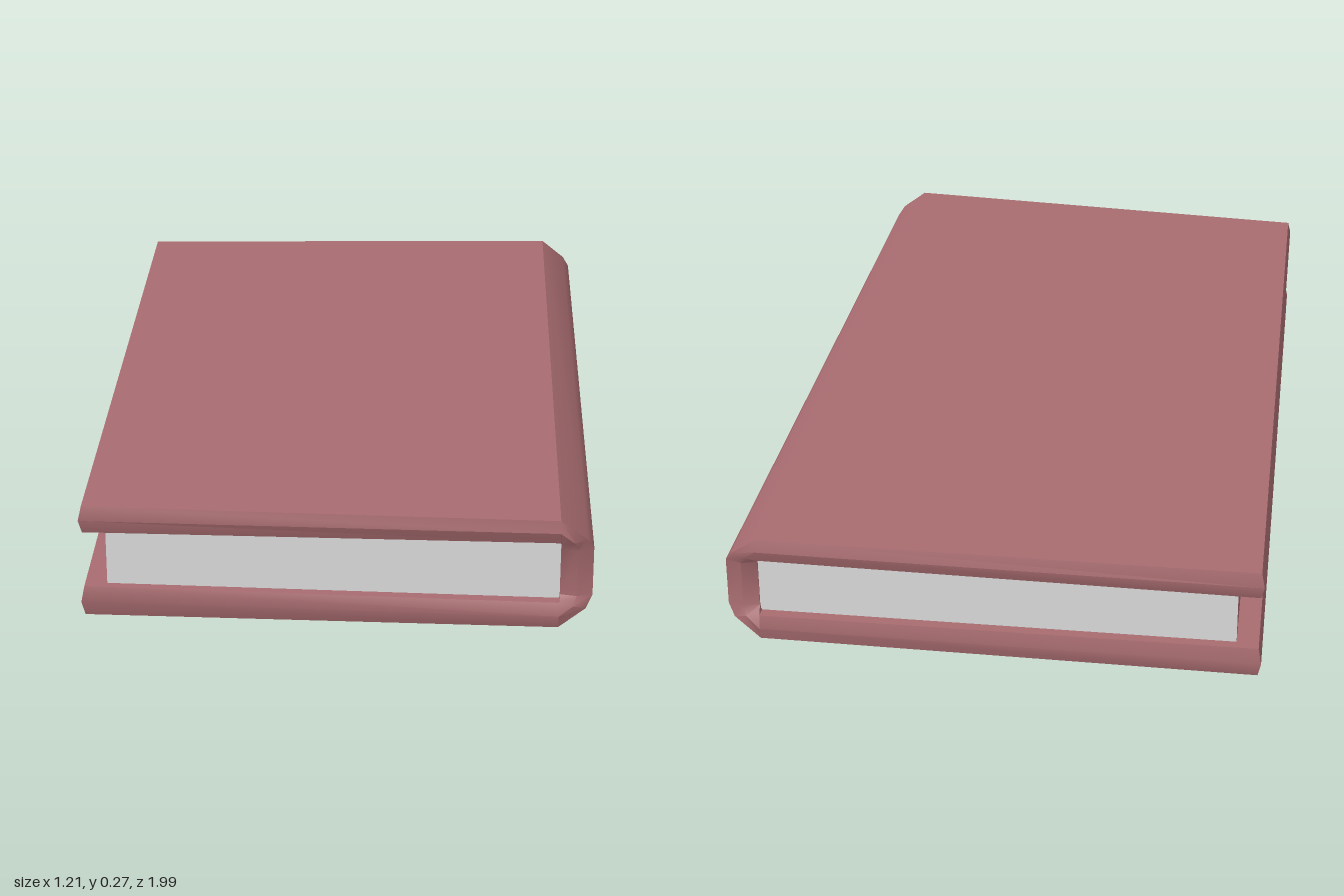
import * as THREE from 'three';
import { toCreasedNormals } from 'three/addons/utils/BufferGeometryUtils.js';

const SPINE_SLANT = 0.065; // the spine leans outward towards the back
const BULGE = 0.009;       // rounding of the board edges

// Sections along the C-shaped cover, from the top fore-edge round the spine to the bottom.
// [outer x, outer y, inner x, inner y, front z, back z], x as at the front end
const SECTIONS = [
  [-0.6, 0.266, -0.6, 0.203, 0.907, -0.988],
  [0.46, 0.273, 0.46, 0.22, 0.985, -0.991],
  [0.52, 0.228, 0.462, 0.216, 0.982, -0.978],
  [0.535, 0.205, 0.463, 0.2, 0.972, -0.968],
  [0.535, 0.09, 0.463, 0.09, 0.972, -0.968],
  [0.52, 0.062, 0.462, 0.078, 0.984, -0.98],
  [0.46, 0.015, 0.46, 0.075, 0.985, -0.991],
  [-0.6, 0.0, -0.6, 0.07, 0.907, -0.988],
];

function coverGeometry() {
  const loops = SECTIONS.map(([ox, oy, ix, iy, zf, zb], i) => {
    const isEnd = i === 0 || i === SECTIONS.length - 1;
    const slant = isEnd ? 0 : SPINE_SLANT;
    const mx = (ox + ix) / 2 - (isEnd ? 0.007 : 0), my = (oy + iy) / 2;
    return [
      [ox, oy, zf], [mx, my, zf + BULGE], [ix, iy, zf],
      [ix + slant, iy, zb], [mx + slant, my, zb - BULGE], [ox + slant, oy, zb],
    ];
  });
  const positions = [];
  const quad = (a, b, c, d) => positions.push(...a, ...b, ...c, ...a, ...c, ...d);

  for (let i = 0; i < loops.length - 1; i++) {
    const p = loops[i], q = loops[i + 1];
    for (let j = 0; j < 6; j++) {
      const k = (j + 1) % 6;
      quad(p[j], p[k], q[k], q[j]);
    }
  }
  // Pointed fore-edges of the two boards
  const s = loops[0], e = loops[loops.length - 1];
  quad(s[0], s[5], s[4], s[1]);
  quad(s[1], s[4], s[3], s[2]);
  quad(e[0], e[1], e[4], e[5]);
  quad(e[1], e[2], e[3], e[4]);

  const geometry = new THREE.BufferGeometry();
  geometry.setAttribute('position', new THREE.Float32BufferAttribute(positions, 3));
  return toCreasedNormals(geometry, 0.6);
}

// Box bent to fill the space between the boards
function pageGeometry() {
  const geometry = new THREE.BoxGeometry(1, 1, 1);
  const p = geometry.attributes.position;
  for (let i = 0; i < p.count; i++) {
    const spine = p.getX(i) > 0, top = p.getY(i) > 0, front = p.getZ(i) > 0;
    p.setXYZ(
      i,
      spine ? (front ? 0.47 : 0.53) : -0.55,
      top ? (spine ? 0.225 : 0.21) : 0.065,
      front ? (spine ? 0.96 : 0.89) : -0.965,
    );
  }
  geometry.computeVertexNormals();
  return geometry;
}

export function createModel() {
  const coverRed = new THREE.MeshStandardMaterial({ color: 0xa86c70 });
  coverRed.name = 'coverRed';
  const paperWhite = new THREE.MeshStandardMaterial({ color: 0xe0e0e0 });
  paperWhite.name = 'paperWhite';

  const book = new THREE.Group();
  book.name = 'book';

  const cover = new THREE.Mesh(coverGeometry(), coverRed);
  cover.name = 'cover';

  // Paper shows at head and tail, the fore-edge is tinted like the cover
  const pages = new THREE.Mesh(
    pageGeometry(),
    [coverRed, coverRed, coverRed, coverRed, paperWhite, paperWhite],
  );
  pages.name = 'pages';

  book.add(cover, pages);
  return book;
}
